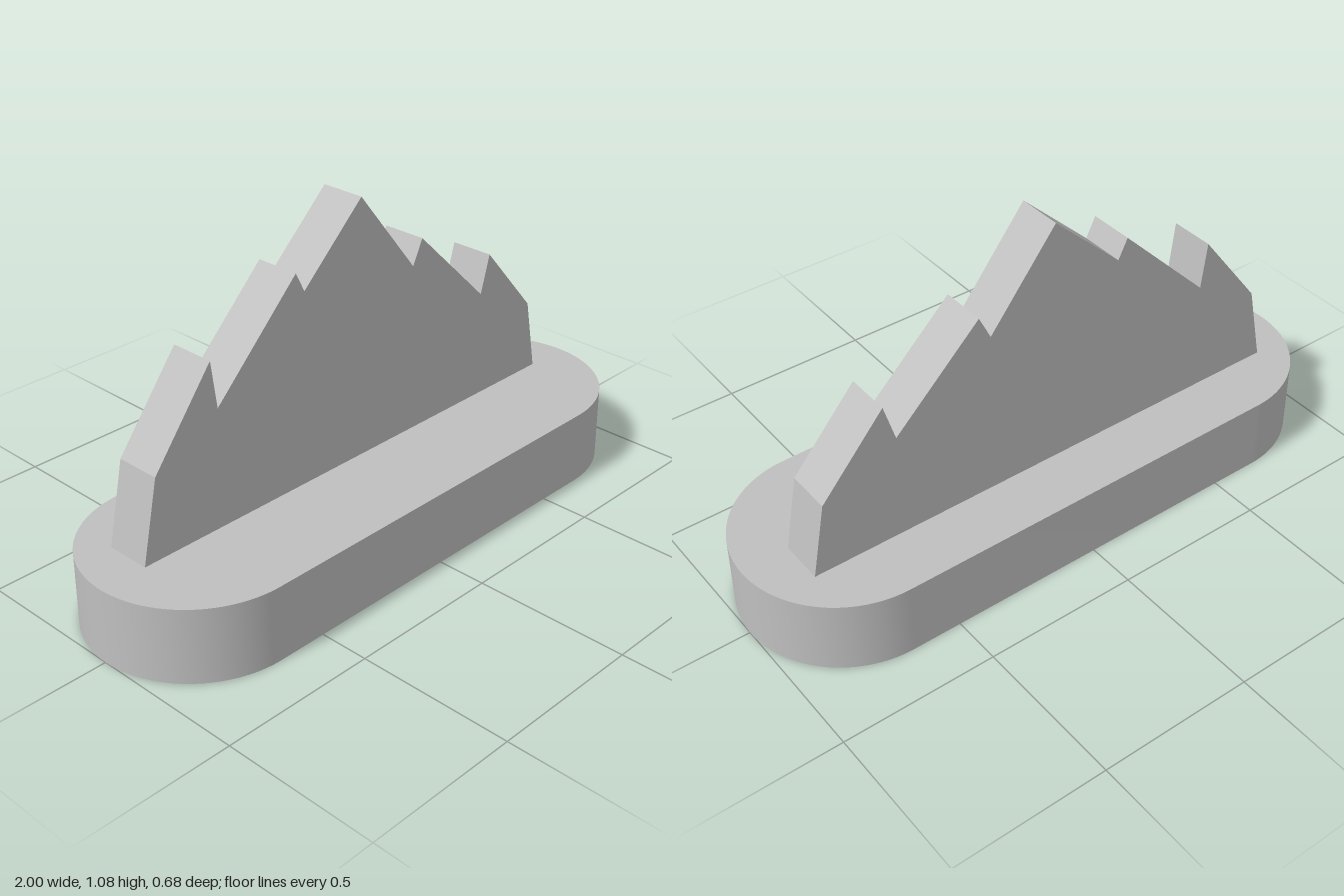
import * as THREE from 'three';
import { toCreasedNormals } from 'three/addons/utils/BufferGeometryUtils.js';

const BASE_HEIGHT = 0.24;
const BASE_RADIUS = 0.34;

export function createModel() {
  const model = new THREE.Group();
  model.name = 'mountainStand';

  const grey = new THREE.MeshStandardMaterial({ color: 0xbfbfbf });
  grey.name = 'stone grey';

  // Base: a slab with half-round ends
  const cx = 1 - BASE_RADIUS;
  const outline = new THREE.Shape();
  outline.absarc(cx, 0, BASE_RADIUS, -Math.PI / 2, Math.PI / 2, false);
  outline.absarc(-cx, 0, BASE_RADIUS, Math.PI / 2, Math.PI * 1.5, false);
  const slab = new THREE.ExtrudeGeometry(outline, {
    depth: BASE_HEIGHT, bevelEnabled: false, curveSegments: 40,
  });
  slab.rotateX(-Math.PI / 2);
  const base = new THREE.Mesh(toCreasedNormals(slab, Math.PI / 6), grey);
  base.name = 'base';
  model.add(base);

  // Ridge: an upright plate cut to a jagged mountain skyline
  const skyline = [
    [-0.85, BASE_HEIGHT], [0.845, BASE_HEIGHT], [0.8, 0.48], [0.59, 0.72],
    [0.553, 0.595], [0.267, 0.872], [0.228, 0.793], [0.003, 1.077],
    [-0.228, 0.86], [-0.26, 0.924], [-0.565, 0.62], [-0.585, 0.772], [-0.795, 0.5],
  ].map(([x, y]) => new THREE.Vector2(x, y));
  const plate = new THREE.ExtrudeGeometry(new THREE.Shape(skyline), {
    depth: 0.146, bevelEnabled: false,
  });
  plate.translate(0, 0, -0.138);
  const ridge = new THREE.Mesh(plate, grey);
  ridge.name = 'mountainRidge';
  model.add(ridge);

  return model;
}
